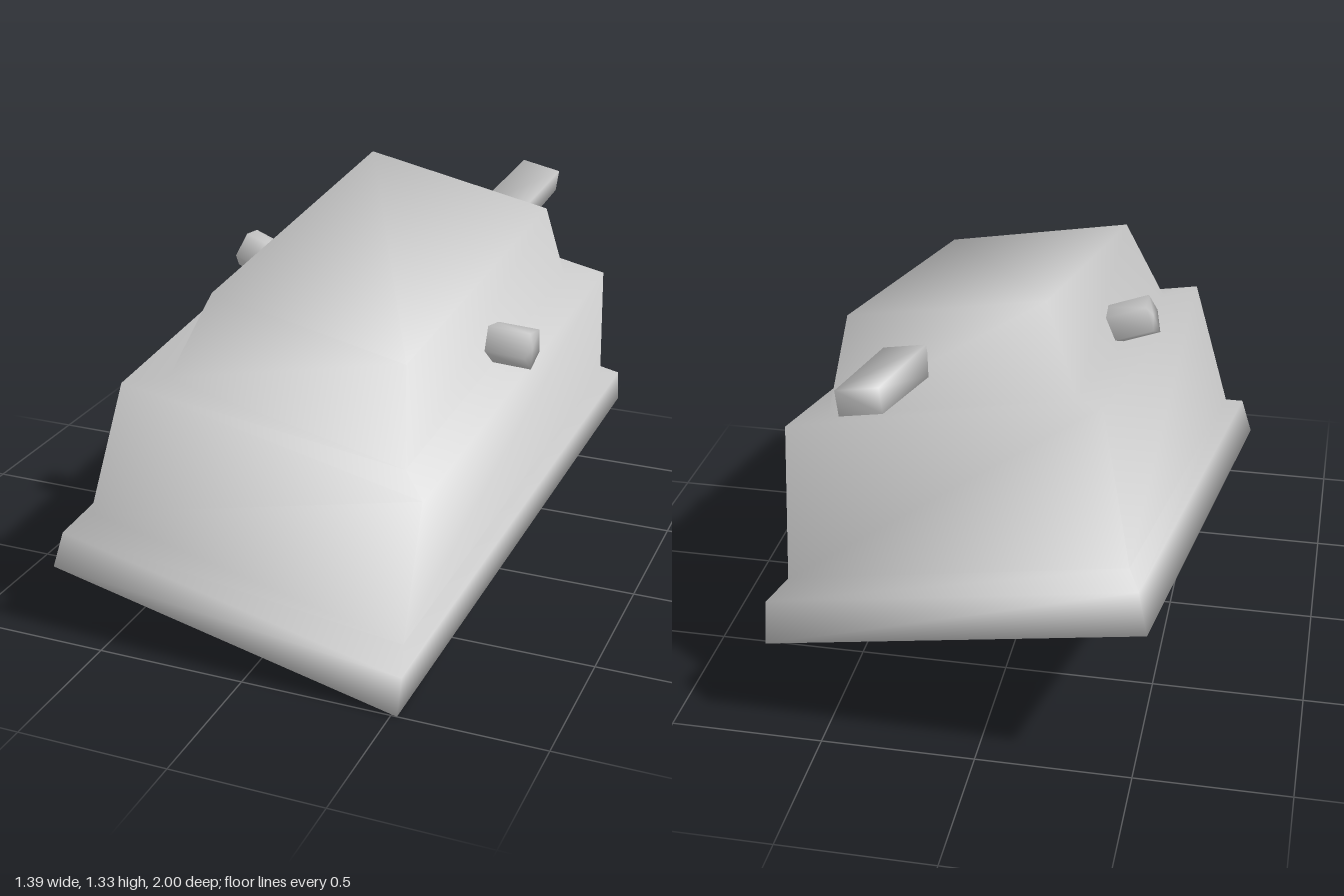
import * as THREE from 'three';
import { mergeVertices } from 'three/addons/utils/BufferGeometryUtils.js';

const gray = new THREE.MeshStandardMaterial({ color: 0xc8c8c8, side: THREE.DoubleSide });
gray.name = 'plain gray';

// Stack of rectangles [halfWidth, height, halfDepth], smooth normals, every face weighted alike
function loft(rings, openBottom = false) {
  const points = rings.flatMap(([a, h, c]) => [[a, h, c], [-a, h, c], [-a, h, -c], [a, h, -c]])
    .map((p) => new THREE.Vector3(...p));
  const t = points.length - 4;
  const quads = [[t, t + 3, t + 2, t + 1]];
  if (!openBottom) quads.push([0, 1, 2, 3]);
  for (let r = 0; r < t; r += 4) {
    for (let i = 0; i < 4; i++) {
      const p = r + i;
      const q = r + ((i + 1) % 4);
      quads.push([q, p, p + 4, q + 4]);
    }
  }
  const normals = points.map(() => new THREE.Vector3());
  const idx = [];
  for (const [a, b, c, d] of quads) {
    const across = points[c].clone().sub(points[a]);
    const n = across.cross(points[d].clone().sub(points[b])).normalize();
    for (const k of [a, b, c, d]) normals[k].add(n);
    idx.push(a, b, c, a, c, d);
  }
  normals.forEach((n) => n.normalize());
  const flat = (list) => new THREE.Float32BufferAttribute(list.flatMap((v) => v.toArray()), 3);
  const g = new THREE.BufferGeometry();
  g.setAttribute('position', flat(points));
  g.setAttribute('normal', flat(normals));
  g.setIndex(idx);
  return g;
}

// Five-sided stub with rounded shading
function stub(radius, length) {
  const g = new THREE.CylinderGeometry(radius, radius, length, 5);
  g.deleteAttribute('normal');
  g.deleteAttribute('uv');
  const m = mergeVertices(g);
  m.computeVertexNormals();
  return m;
}

export function createModel() {
  const model = new THREE.Group();
  model.name = 'bunker';
  const body = new THREE.Group();
  body.name = 'tiltedBody';
  model.add(body);

  function add(name, geometry) {
    const mesh = new THREE.Mesh(geometry, gray);
    mesh.name = name;
    body.add(mesh);
    return mesh;
  }

  // One continuous hollow shell: lip, skirt, hull, deck and turret
  add('hullAndTurret', loft([
    [0.598, 0, 0.957], // inner edge of the lip
    [0.6215, 0, 0.9805], // foot
    [0.607, 0.131, 0.952], // top of skirt
    [0.562, 0.169, 0.857], // foot of wall
    [0.5206, 0.6465, 0.762], // deck edge
    [0.414, 0.6465, 0.655], // foot of turret
    [0.333, 0.943, 0.558], // roof edge
  ], true));

  // Flat barrel out of the turret's back wall
  const barrel = add('barrel', loft([[0.072, 0, 0.05], [0.07, 0.435, 0.04]]));
  barrel.rotation.x = -Math.PI / 2;
  barrel.position.set(0.14, 0.79, -0.6);

  // Side stubs, tipped slightly upward
  const tip = THREE.MathUtils.degToRad(10);
  const length = 0.17;
  for (const s of [1, -1]) {
    const peg = add(s > 0 ? 'leftStub' : 'rightStub', stub(0.07, length));
    peg.rotation.z = -s * (Math.PI / 2 - tip);
    peg.position.set(
      s * (0.532 - Math.cos(tip) * length / 2),
      0.742 - Math.sin(tip) * length / 2,
      -0.03
    );
  }

  // Lean of the whole body
  const side = new THREE.Vector3(1.22, -0.23, 0.07).normalize();
  const up = new THREE.Vector3(-0.165, -0.305, 1.93).cross(side).normalize();
  const front = new THREE.Vector3().crossVectors(side, up);
  body.quaternion.setFromRotationMatrix(new THREE.Matrix4().makeBasis(side, up, front));
  body.position.set(-0.006, 0.27, 0);
  return model;
}
